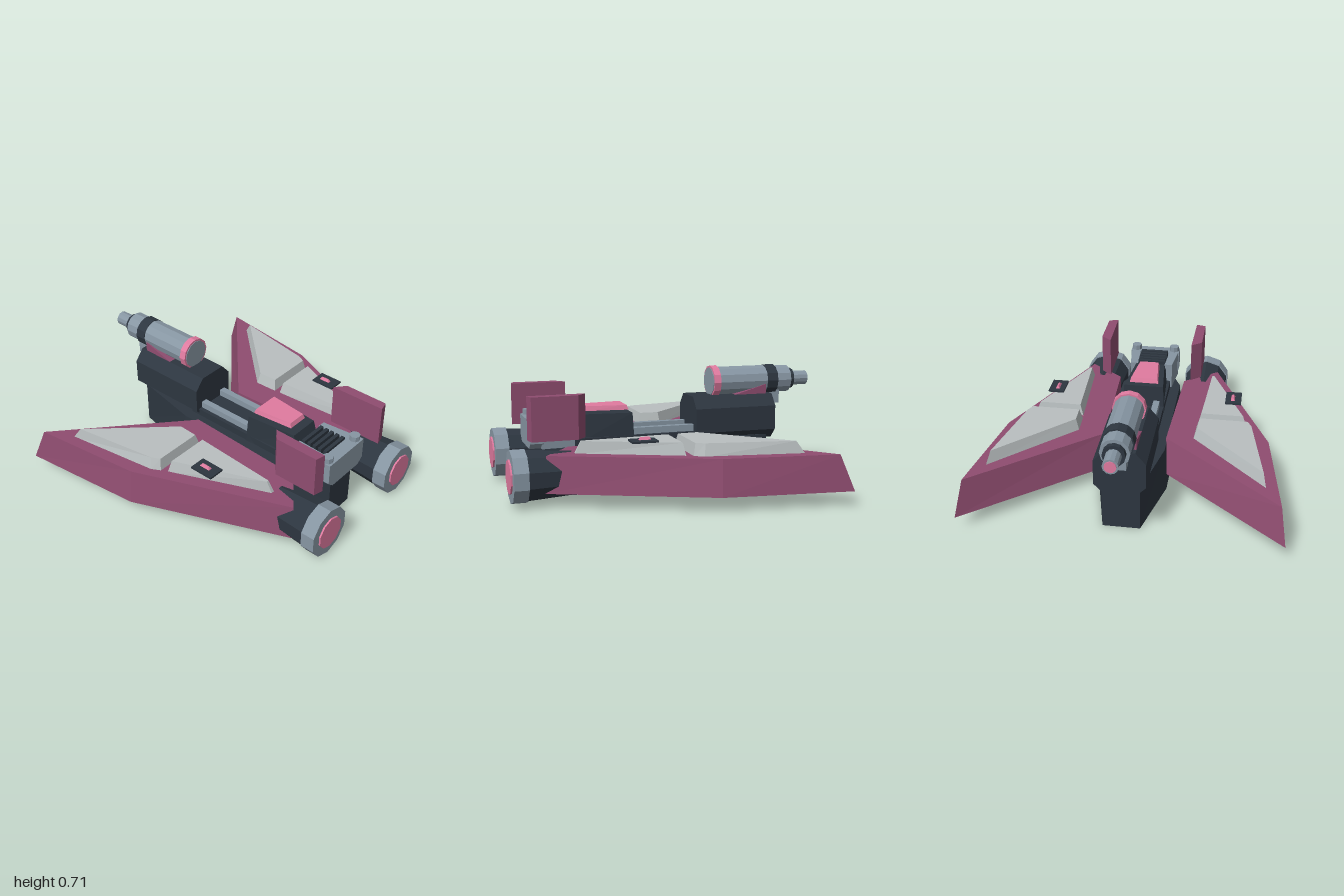
import * as THREE from 'three';

const mat = (color) => new THREE.MeshStandardMaterial({ color, flatShading: true });

export function createModel() {
  const root = new THREE.Group();
  const maroon = mat(0x8f4d70), pink = mat(0xe07ba0), dark = mat(0x2d3640);
  const steel = mat(0x8796a3), pale = mat(0xb9bfc0);

  const add = (name, geo, material, x = 0, y = 0, z = 0) => {
    const m = new THREE.Mesh(geo, material);
    m.name = name;
    m.position.set(x, y, z);
    root.add(m);
    return m;
  };

  // Box given by its limits on each axis
  const box = (name, material, [x0, x1], [y0, y1], [z0, z1]) =>
    add(name, new THREE.BoxGeometry(x1 - x0, y1 - y0, z1 - z0), material,
      (x0 + x1) / 2, (y0 + y1) / 2, (z0 + z1) / 2);

  // Solid between two convex [x, z] outlines at heights y0 and y1
  const loft = (name, material, low, y0, high, y1) => {
    const n = low.length;
    let area = 0;
    low.forEach(([x, z], i) => {
      const [u, v] = low[(i + 1) % n];
      area += x * v - u * z;
    });
    if (area > 0) { low = [...low].reverse(); high = [...high].reverse(); }
    const pos = [];
    const A = (i) => [low[i % n][0], y0, low[i % n][1]];
    const B = (i) => [high[i % n][0], y1, high[i % n][1]];
    const tri = (...p) => p.forEach((q) => pos.push(...q));
    for (let i = 0; i < n; i++) {
      tri(A(i), A(i + 1), B(i + 1));
      tri(A(i), B(i + 1), B(i));
      if (i > 0 && i < n - 1) {
        tri(B(0), B(i), B(i + 1));
        tri(A(0), A(i + 1), A(i));
      }
    }
    const g = new THREE.BufferGeometry();
    g.setAttribute('position', new THREE.Float32BufferAttribute(pos, 3));
    g.computeVertexNormals();
    return add(name, g, material);
  };

  // Round section along z; rBack at z0, rFront at z1
  const round = (name, material, x, y, z0, z1, rBack, rFront, sides) => {
    const g = new THREE.CylinderGeometry(rFront, rBack, z1 - z0, sides);
    g.rotateX(Math.PI / 2);
    return add(name, g, material, x, y, (z0 + z1) / 2);
  };

  const extrude = (pts, depth) => new THREE.ExtrudeGeometry(
    new THREE.Shape(pts.map(([x, y]) => new THREE.Vector2(x, y))), { depth, bevelEnabled: false });
  const flip = (pts, s) => pts.map(([x, z]) => [x * s, z]);
  const both = (half) => [...half, ...flip(half, -1).reverse()];

  // Hull with narrowed ends, and the deck above it
  loft('hull', dark,
    both([[0.11, -0.68], [0.21, -0.25], [0.21, 0.6], [0.1, 0.81]]), 0,
    both([[0.11, -0.68], [0.195, -0.25], [0.195, 0.6], [0.1, 0.81]]), 0.275);
  box('deck', dark, [-0.13, 0.13], [0.27, 0.32], [-0.25, 0.6]);

  // Cabin and its floating canopy
  loft('cabin', dark,
    both([[0.135, 0.2], [0.11, 0.58]]), 0.27, both([[0.125, 0.21], [0.095, 0.53]]), 0.458);
  loft('canopy', pink,
    both([[0.092, 0.225], [0.067, 0.485]]), 0.472, both([[0.085, 0.235], [0.06, 0.475]]), 0.5);

  // Front radiator: block, slats between side arms
  const frontBlock = [[0.125, 0.275], [0.165, 0.31], [0.165, 0.44]];
  add('frontBlock', extrude(both(frontBlock), 0.08), steel, 0, 0, 0.76);
  box('radiatorBed', dark, [-0.1, 0.1], [0.27, 0.41], [0.56, 0.77]);
  for (let i = 0; i < 5; i++) {
    const z = 0.585 + i * 0.038;
    box('radiatorSlat', dark, [-0.09, 0.09], [0.4, 0.455], [z, z + 0.022]);
  }

  // Turret base, wedge mount and bracket
  const octagon = [[0.09, 0.25], [0.15, 0.31], [0.15, 0.46], [0.09, 0.53]];
  add('turretBase', extrude(both(octagon), 0.53), dark, 0, 0, -0.72);
  const wedge = extrude([[-0.37, 0.5], [-0.68, 0.59], [-0.68, 0.49]], 0.18);
  wedge.rotateY(-Math.PI / 2);
  add('gunWedge', wedge, maroon, 0.09);
  box('gunBracket', steel, [-0.05, 0.05], [0.46, 0.6], [-0.79, -0.715]);

  // Gun, from its end cap to the muzzle
  const gun = [
    ['gunCap', steel, -0.34, -0.328, 0.088], ['gunRing', pink, -0.375, -0.332, 0.1],
    ['gunBody', steel, -0.7, -0.37, 0.09], ['gunCollar', dark, -0.765, -0.695, 0.094],
    ['gunSleeve', steel, -0.86, -0.76, 0.085], ['gunNeck', dark, -0.89, -0.855, 0.065],
    ['barrel', steel, -0.995, -0.885, 0.045], ['muzzle', pink, -1, -0.99, 0.034],
  ];
  gun.forEach(([name, m, z0, z1, r]) => round(name, m, 0, 0.61, z0, z1, r, r, 12));

  for (const s of [1, -1]) {
    const side = s > 0 ? 'left' : 'right';
    const span = (a, b) => (s > 0 ? [a, b] : [-b, -a]);
    const slab = (part, m, low, y0, high, y1) =>
      loft(side + part, m, flip(low, s), y0, flip(high, s), y1);

    // Forward-swept wing with sloping edges
    slab('Wing', maroon,
      [[0.195, -0.21], [0.935, -0.85], [0.84, -0.09], [0.455, 0.815], [0.22, 0.63]], 0.085,
      [[0.19, -0.14], [0.9, -0.77], [0.81, -0.1], [0.435, 0.8], [0.22, 0.63]], 0.295);

    // Raised wing panels
    slab('RearPanel', pale,
      [[0.355, -0.12], [0.81, -0.6], [0.72, -0.03], [0.69, 0.025], [0.36, 0.025]], 0.29,
      [[0.375, -0.11], [0.79, -0.55], [0.7, -0.04], [0.675, 0.01], [0.38, 0.01]], 0.365);
    slab('FrontPanel', pale,
      [[0.365, 0.06], [0.67, 0.06], [0.42, 0.635], [0.4, 0.635]], 0.29,
      [[0.385, 0.073], [0.645, 0.073], [0.425, 0.6], [0.412, 0.6]], 0.365);

    // Wing light on a small plate
    box(side + 'LightPlate', dark, span(0.523, 0.623), [0.37, 0.381], [0.205, 0.355]);
    slab('Light', pink,
      [[0.557, 0.235], [0.583, 0.235], [0.583, 0.305], [0.557, 0.305]], 0.38,
      [[0.566, 0.245], [0.574, 0.245], [0.574, 0.295], [0.566, 0.295]], 0.396);

    // Upright fin
    const fin = [[0.27, 0.535], [0.335, 0.59], [0.335, 0.86], [0.275, 0.875]];
    slab('Fin', maroon, fin, 0.355, fin, 0.61);

    // Engine
    round(side + 'Engine', dark, 0.35 * s, 0.17, 0.64, 0.91, 0.13, 0.148, 10);
    round(side + 'EngineRing', steel, 0.35 * s, 0.17, 0.905, 0.99, 0.155, 0.155, 10);
    round(side + 'EngineGlow', pink, 0.35 * s, 0.17, 0.98, 1, 0.1, 0.1, 10);

    // Deck rail, radiator arm and corner post
    box(side + 'Rail', steel, span(0.065, 0.105), [0.3, 0.36], [-0.22, 0.48]);
    const arm = [[0.09, 0.57], [0.14, 0.57], [0.16, 0.77], [0.1, 0.77]];
    slab('RadiatorArm', steel, arm, 0.275, arm, 0.44);
    add(side + 'Post', new THREE.CylinderGeometry(0.032, 0.032, 0.15, 8), steel, 0.13 * s, 0.397, 0.8);
  }
  return root;
}
